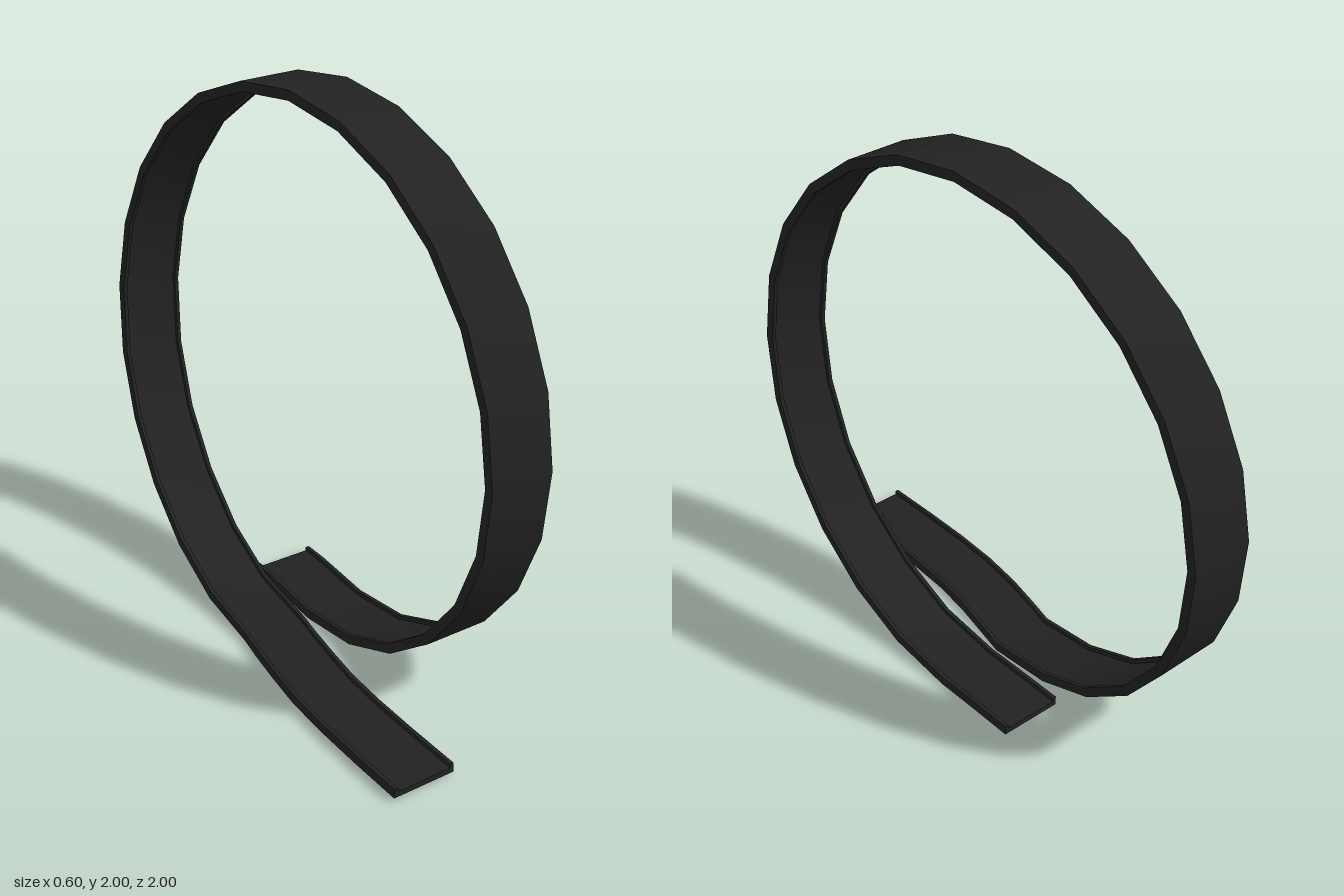
import * as THREE from 'three';

const LOOP_STEPS = 24;
const RADIUS = 0.998;

// Channel section: x across the track, y towards the driving side, counter-clockwise
const W = 0.1175, LIP = 0.014, DECK = 0.02, HIGH = 0.035;
const PROFILE = [
  [-W, 0], [W, 0], [W, HIGH], [W - LIP, HIGH],
  [W - LIP, DECK], [-W + LIP, DECK], [-W + LIP, HIGH], [-W, HIGH],
].map(([x, y]) => new THREE.Vector2(x, y));

// Centre line of the underside, with the driving-side direction at each point
function trackPath() {
  const path = [];
  const add = (x, y, z, up = new THREE.Vector3(0, 1, 0)) =>
    path.push({ p: new THREE.Vector3(x, y, z), up });

  // run-in, drifting sideways towards the loop
  [[-0.183, 0.99], [-0.183, 0.78], [-0.179, 0.58], [-0.168, 0.41], [-0.145, 0.25]]
    .forEach(([x, z]) => add(x, 0.012, z));
  add(-0.12, 0.006, 0.12);

  // loop: up the back, over the top, down the front
  const drift = new THREE.SplineCurve(
    [-0.095, -0.05, -0.005, 0.042, 0.085, 0.12, 0.146, 0.162, 0.172]
      .map((x, i) => new THREE.Vector2(i, x)));
  for (let i = 0; i <= LOOP_STEPS; i++) {
    const a = (i / LOOP_STEPS) * Math.PI * 2;
    const s = Math.sin(a), c = Math.cos(a);
    add(drift.getPoint(i / LOOP_STEPS).y, 1 - RADIUS * c, -RADIUS * s,
      new THREE.Vector3(0, c, s));
  }

  // run-out
  add(0.176, 0.008, -0.14);
  add(0.18, 0.012, -0.25);
  add(0.181, 0.012, -0.352);
  return path;
}

// Sweep the section along the path; each side is its own strip so long edges stay sharp
function sweep(path, profile) {
  const rings = path.map(({ p, up }, i) => {
    const before = path[Math.max(i - 1, 0)].p;
    const after = path[Math.min(i + 1, path.length - 1)].p;
    const t = after.clone().sub(before).normalize();
    const side = t.clone().cross(up).normalize();
    const u = side.clone().cross(t);
    return profile.map((q) => p.clone().addScaledVector(side, q.x).addScaledVector(u, q.y));
  });
  const pos = [], index = [];
  const vertex = (v) => pos.push(v.x, v.y, v.z) / 3 - 1;

  for (let k = 0; k < profile.length; k++) {
    const next = (k + 1) % profile.length;
    const strip = rings.map((r) => [vertex(r[k]), vertex(r[next])]);
    for (let i = 0; i < strip.length - 1; i++) {
      const [a, b] = strip[i], [d, c] = strip[i + 1];
      index.push(a, c, b, a, d, c);
    }
  }

  // end caps
  const faces = THREE.ShapeUtils.triangulateShape(profile, []);
  const first = rings[0].map(vertex);
  const last = rings[rings.length - 1].map(vertex);
  for (const [a, b, c] of faces) {
    index.push(first[a], first[b], first[c], last[a], last[c], last[b]);
  }

  const geometry = new THREE.BufferGeometry();
  geometry.setAttribute('position', new THREE.Float32BufferAttribute(pos, 3));
  geometry.setIndex(index);
  geometry.computeVertexNormals();
  return geometry;
}

export function createModel() {
  const group = new THREE.Group();
  group.name = 'loopTrack';
  const material = new THREE.MeshStandardMaterial({ color: 0x222222 });
  const track = new THREE.Mesh(sweep(trackPath(), PROFILE), material);
  track.name = 'track';
  group.add(track);
  return group;
}
